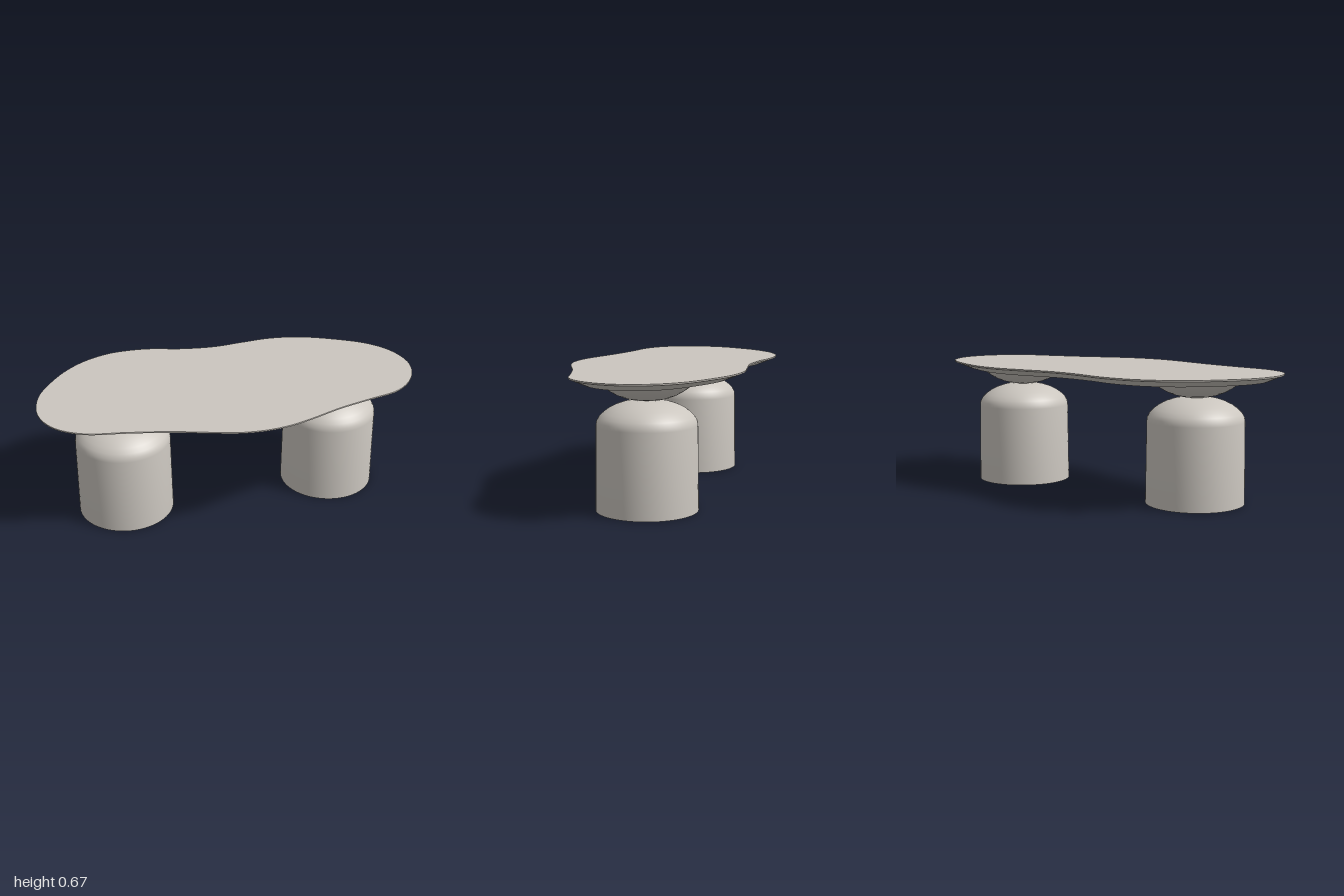
import * as THREE from 'three';
import { toCreasedNormals, mergeGeometries } from 'three/addons/utils/BufferGeometryUtils.js';

const stone = new THREE.MeshStandardMaterial({ color: 0xcbc6bf });
stone.name = 'warm grey stone';

// Free-form outline of the top as [x, z], clockwise seen from above
const OUTLINE = [
  [-1, 0.03], [-0.97, -0.12], [-0.9, -0.24], [-0.8, -0.36], [-0.68, -0.45], [-0.55, -0.5],
  [-0.45, -0.51], [-0.32, -0.5], [-0.15, -0.455], [0.03, -0.433], [0.2, -0.446], [0.36, -0.455],
  [0.52, -0.43], [0.7, -0.355], [0.87, -0.25], [0.96, -0.14], [1, 0], [0.98, 0.12],
  [0.92, 0.22], [0.82, 0.3], [0.65, 0.345], [0.48, 0.39], [0.3, 0.455], [0.18, 0.49],
  [0.05, 0.503], [-0.08, 0.49], [-0.22, 0.45], [-0.4, 0.395], [-0.6, 0.35], [-0.8, 0.31],
  [-0.92, 0.235], [-0.98, 0.14],
];

function outlineLoops(count, inset) {
  const curve = new THREE.CatmullRomCurve3(OUTLINE.map(([x, z]) => new THREE.Vector3(x, 0, z)), true);
  const rim = [], base = [];
  for (let i = 0; i < count; i++) {
    const p = curve.getPointAt(i / count), t = curve.getTangentAt(i / count);
    rim.push(new THREE.Vector2(p.x, p.z));
    base.push(new THREE.Vector2(p.x - t.z * inset, p.z + t.x * inset));
  }
  return { rim, base };
}

// Band of quads between two outline loops
function band(lower, y0, upper, y1) {
  const n = lower.length, pos = [], index = [];
  lower.forEach((p) => pos.push(p.x, y0, p.y));
  upper.forEach((p) => pos.push(p.x, y1, p.y));
  for (let i = 0; i < n; i++) {
    const j = (i + 1) % n;
    index.push(i, n + i, j, j, n + i, n + j);
  }
  const g = new THREE.BufferGeometry();
  g.setAttribute('position', new THREE.Float32BufferAttribute(pos, 3));
  g.setIndex(index);
  g.computeVertexNormals();
  return g;
}

function cap(loop, y, up) {
  const s = up ? -1 : 1;
  const g = new THREE.ShapeGeometry(new THREE.Shape(loop.map((p) => new THREE.Vector2(p.x, s * p.y))));
  g.rotateX((s * Math.PI) / 2).translate(0, y, 0);
  g.deleteAttribute('uv');
  return g;
}

function turned(name, profile) {
  const g = new THREE.LatheGeometry(profile.map(([r, y]) => new THREE.Vector2(r, y)), 64);
  const mesh = new THREE.Mesh(toCreasedNormals(g, 0.6), stone);
  mesh.name = name;
  return mesh;
}

export function createModel() {
  const model = new THREE.Group();
  model.name = 'table';

  // Thin top with a bevelled underside
  const { rim, base } = outlineLoops(160, 0.08);
  const top = new THREE.Mesh(mergeGeometries([
    cap(base, 0.628, false),
    band(base, 0.628, rim, 0.661),
    band(rim, 0.661, rim, 0.668),
    cap(rim, 0.668, true),
  ]), stone);
  top.name = 'tableTop';
  model.add(top);

  // Domed pedestals, each with a shallow bowl carrying the top
  for (const side of [-1, 1]) {
    const leg = new THREE.Group();
    leg.name = side > 0 ? 'leftLeg' : 'rightLeg';
    leg.add(turned('pedestal', [
      [0, 0], [0.253, 0], [0.248, 0.42], [0.245, 0.44], [0.233, 0.462], [0.212, 0.483],
      [0.184, 0.503], [0.15, 0.52], [0.11, 0.533], [0.075, 0.54], [0.05, 0.542], [0, 0.542],
    ]));
    leg.add(turned('bowl', [
      [0, 0.541], [0.05, 0.541], [0.08, 0.546], [0.115, 0.555], [0.15, 0.569],
      [0.182, 0.587], [0.207, 0.605], [0.225, 0.622], [0.23, 0.629],
    ]));
    leg.position.set(side * 0.569, 0, -0.012);
    model.add(leg);
  }
  return model;
}
